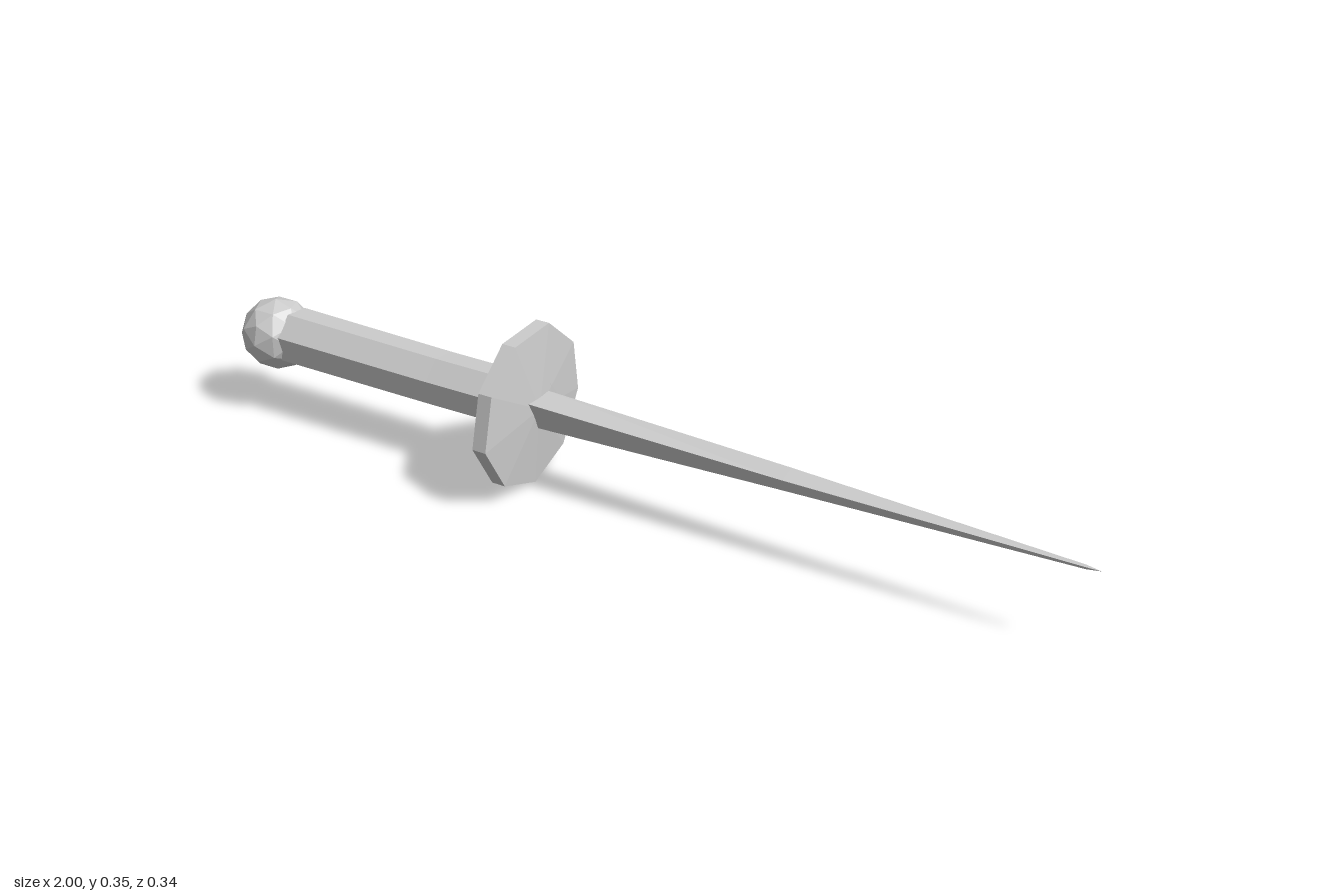
import * as THREE from 'three';

// Skins closed rings of [x, y, z] points (ordered y toward z, rising x) and fans both ends to tip points.
function loft(rings, startTip, endTip) {
  const pos = [];
  const n = rings[0].length;
  const tri = (...pts) => pts.forEach((p) => pos.push(...p));
  for (let j = 0; j < n; j++) {
    const k = (j + 1) % n;
    tri(startTip, rings[0][k], rings[0][j]);
    for (let i = 0; i < rings.length - 1; i++) {
      const a = rings[i], b = rings[i + 1];
      tri(a[j], a[k], b[k]);
      tri(a[j], b[k], b[j]);
    }
    const last = rings[rings.length - 1];
    tri(endTip, last[j], last[k]);
  }
  const g = new THREE.BufferGeometry();
  g.setAttribute('position', new THREE.Float32BufferAttribute(pos, 3));
  g.computeVertexNormals();
  return g;
}

const ringAt = (x, section) => section.map(([y, z]) => [x, y, z]);

export function createModel() {
  const group = new THREE.Group();
  const grey = new THREE.MeshStandardMaterial({ color: 0xcccccc });
  grey.name = 'grey';
  grey.flatShading = true;
  const add = (name, geometry) => {
    const mesh = new THREE.Mesh(geometry, grey);
    mesh.name = name;
    group.add(mesh);
    return mesh;
  };

  // Faceted ball at the end of the grip
  add('pommel', new THREE.IcosahedronGeometry(0.082, 1)).position.set(-0.919, 0.18, 0);

  // Seven-sided grip, slightly bowed, its far end slanted against the guard
  const gripRing = (x, cy, cz, r, slant = 0) => Array.from({ length: 7 }, (_, i) => {
    const a = THREE.MathUtils.degToRad(20 + (i * 360) / 7);
    const z = cz + r * Math.sin(a);
    return [x - slant * z, cy + r * Math.cos(a), z];
  });
  add('grip', loft([
    gripRing(-0.87, 0.181, -0.004, 0.066),
    gripRing(-0.47, 0.177, -0.008, 0.063),
    gripRing(-0.228, 0.179, -0.008, 0.062, 0.12),
  ], [-0.87, 0.181, -0.004], [-0.228, 0.179, -0.008]));

  // Nine-sided disc guard with shallow conical faces
  const rim = [
    [0.347, -0.066], [0.341, 0.057], [0.266, 0.145], [0.15, 0.173], [0.043, 0.109],
    [0, -0.003], [0.043, -0.112], [0.151, -0.172], [0.266, -0.157],
  ];
  add('guard', loft([ringAt(-0.265, rim), ringAt(-0.233, rim)],
    [-0.277, 0.18, 0], [-0.216, 0.18, 0]));

  // Three-edged blade, tapering to a needle point
  add('blade', loft([
    ringAt(-0.23, [[0.204, -0.041], [0.205, 0.034], [0.134, 0.001]]),
    ringAt(0.36, [[0.199, -0.024], [0.189, 0.015], [0.158, 0]]),
    ringAt(0.97, [[0.186, -0.007], [0.184, -0.001], [0.178, -0.004]]),
  ], [-0.23, 0.18, 0], [1, 0.183, -0.004]));

  return group;
}
